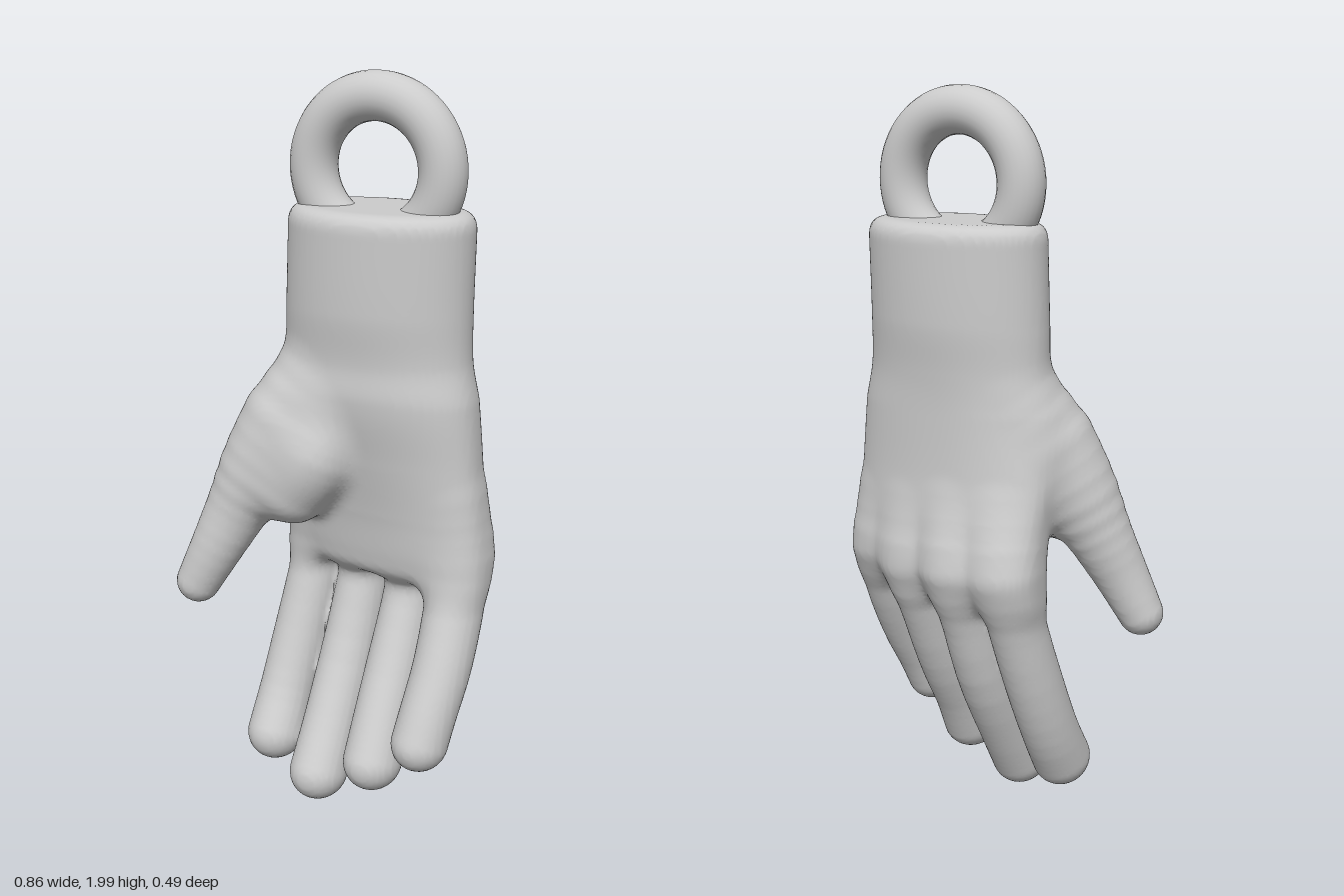
import * as THREE from 'three';

const CELL = 0.0115;
const MIN = [-0.47, -0.04, -0.29];
const MAX = [0.46, 1.71, 0.29];

// Rounded joins: blend two distances over a width k
function join(a, b, k) {
  const h = Math.max(k - Math.abs(a - b), 0) / k;
  return Math.min(a, b) - (h * h * k) / 4;
}
const cut = (a, b, k) => -join(-a, -b, k);

// Fleshy limb along stations [x, y, z, radius]; flat < 1 makes it deeper than wide
function limb(stations, flat = 1) {
  const path = new THREE.CatmullRomCurve3(stations.map(([x, y, z]) => new THREE.Vector3(x, y, z * flat)));
  const steps = 14;
  const nodes = path.getPoints(steps).map((p, i) => {
    const s = (i / steps) * (stations.length - 1);
    const n = Math.min(Math.floor(s), stations.length - 2);
    return { p, r: THREE.MathUtils.lerp(stations[n][3], stations[n + 1][3], s - n) };
  });
  return (x, y, z) => {
    let best = Infinity;
    for (let i = 0; i < steps; i++) {
      const { p, r } = nodes[i], { p: q, r: r2 } = nodes[i + 1];
      const ax = q.x - p.x, ay = q.y - p.y, az = q.z - p.z;
      const bx = x - p.x, by = y - p.y, bz = z * flat - p.z;
      const t = Math.min(Math.max((ax * bx + ay * by + az * bz) / (ax * ax + ay * ay + az * az), 0), 1);
      best = Math.min(best, Math.hypot(bx - t * ax, by - t * ay, bz - t * az) - r - t * (r2 - r));
    }
    return best;
  };
}

// Palm and wrist: [y, xMin, xMax, zBack, zFront, roundness power, slant of z across x]
const PALM = [
  [1.66, -0.154, 0.358, -0.205, 0.13, 2, 0],
  [1.4, -0.162, 0.355, -0.203, 0.13, 2, 0],
  [1.27, -0.168, 0.358, -0.19, 0.118, 2.1, 0],
  [1.17, -0.195, 0.378, -0.185, 0.122, 2.3, 0],
  [1.0, -0.21, 0.393, -0.187, 0.09, 2.5, 0.05],
  [0.85, -0.2, 0.405, -0.2, 0.06, 2.7, 0.12],
  [0.74, -0.193, 0.41, -0.208, 0.045, 2.8, 0.16],
  [0.64, -0.185, 0.4, -0.165, 0.03, 2.5, 0.17],
];

function palm(px, y, pz) {
  const last = PALM.length - 1;
  let i = 0;
  while (i < last - 1 && y < PALM[i + 1][0]) i++;
  const [p, q, r, s] = [i - 1, i, i + 1, i + 2].map((n) => PALM[Math.min(Math.max(n, 0), last)]);
  const t = Math.min(Math.max((q[0] - y) / (q[0] - r[0]), 0), 1);
  const at = (n) => 0.5 * (2 * q[n] + (r[n] - p[n]) * t
    + (2 * p[n] - 5 * q[n] + 4 * r[n] - s[n]) * t * t + (3 * q[n] - p[n] - 3 * r[n] + s[n]) * t ** 3);
  const x0 = at(1), x1 = at(2), z0 = at(3), z1 = at(4), power = at(5);
  const x = px - (x0 + x1) / 2;
  const z = pz - (z0 + z1) / 2 - at(6) * x;
  const a = (x1 - x0) / 2, b = (z1 - z0) / 2;
  const k = (Math.abs(x / a) ** power + Math.abs(z / b) ** power) ** (1 / power);
  const side = (k * (k - 1)) / Math.max(Math.hypot(x / a / a, z / b / b), 0.001);
  // flat wrist end with a rounded rim, soft lower edge between the fingers
  return cut(cut(side, y - 1.66, 0.05), 0.655 - y, 0.05);
}

const FINGERS = [
  // index
  [[-0.09, 0.92, -0.1, 0.06], [-0.115, 0.76, -0.148, 0.081], [-0.127, 0.6, -0.11, 0.076],
    [-0.148, 0.4, -0.045, 0.077], [-0.16, 0.25, 0.018, 0.077], [-0.162, 0.145, 0.08, 0.08]],
  // middle
  [[0.05, 0.92, -0.105, 0.06], [0.038, 0.75, -0.153, 0.081], [0.026, 0.6, -0.112, 0.074],
    [0.013, 0.4, -0.042, 0.077], [0.005, 0.21, 0.058, 0.077], [0.002, 0.085, 0.132, 0.08]],
  // ring
  [[0.19, 0.9, -0.085, 0.06], [0.192, 0.73, -0.12, 0.08], [0.182, 0.58, -0.075, 0.072],
    [0.174, 0.4, 0.005, 0.076], [0.17, 0.26, 0.082, 0.076], [0.17, 0.16, 0.133, 0.08]],
  // little
  [[0.325, 0.9, -0.045, 0.055], [0.338, 0.74, -0.052, 0.08], [0.343, 0.6, -0.005, 0.08],
    [0.341, 0.45, 0.065, 0.078], [0.329, 0.34, 0.122, 0.076], [0.32, 0.265, 0.156, 0.076]],
].map((stations) => limb(stations, 0.9));

const THUMB = limb([
  [-0.05, 1.22, -0.02, 0.1], [-0.13, 1.08, 0.03, 0.13], [-0.2, 0.95, 0.065, 0.115],
  [-0.265, 0.82, 0.095, 0.088], [-0.315, 0.71, 0.125, 0.074], [-0.368, 0.6, 0.146, 0.062],
]);

const THUMB_PAD = limb([[-0.02, 1.1, 0.03, 0.1], [-0.04, 1.0, 0.07, 0.11], [-0.1, 0.9, 0.075, 0.1]]);

// Whole hand: negative inside the flesh, positive outside
function hand(x, y, z) {
  const fingers = FINGERS.reduce((d, finger) => join(d, finger(x, y, z), 0.014), 10);
  const thumb = join(THUMB(x, y, z), THUMB_PAD(x, y, z), 0.06);
  return join(join(palm(x, y, z), fingers, 0.06), thumb, 0.05);
}

// Wrap a smooth quad skin around a solid given as a distance rule
function skin(solid) {
  const size = MIN.map((m, a) => Math.ceil((MAX[a] - m) / CELL) + 1);
  const stride = [1, size[0], size[0] * size[1]];
  const values = new Float32Array(size[0] * size[1] * size[2]);
  const vertexOf = new Int32Array(values.length).fill(-1);
  const positions = [], index = [];
  const eachPoint = (margin, visit) => {
    for (let k = margin; k < size[2] - margin; k++)
      for (let j = margin; j < size[1] - margin; j++)
        for (let i = margin; i < size[0] - margin; i++) visit(i + j * stride[1] + k * stride[2], [i, j, k]);
  };
  eachPoint(0, (n, c) => {
    values[n] = solid(...c.map((v, a) => MIN[a] + v * CELL));
  });

  // one vertex in each cell that the surface crosses, then settled onto the surface
  const corners = Array.from({ length: 8 }, (_, c) => [c & 1, (c >> 1) & 1, c >> 2]);
  eachPoint(1, (n, cell) => {
    const d = corners.map((c) => values[n + c[0] + c[1] * stride[1] + c[2] * stride[2]]);
    const sum = [0, 0, 0];
    let count = 0;
    for (let c = 0; c < 8; c++) {
      for (let a = 0; a < 3; a++) {
        const e = c | (1 << a);
        if (e === c || d[c] < 0 === d[e] < 0) continue;
        const t = d[c] / (d[c] - d[e]);
        for (let m = 0; m < 3; m++) sum[m] += corners[c][m] + (m === a ? t : 0);
        count++;
      }
    }
    if (!count) return;
    const p = sum.map((v, a) => MIN[a] + (cell[a] + v / count) * CELL);
    const here = solid(...p);
    const slope = p.map((_, a) => (solid(...p.map((v, m) => v + (m === a ? 0.001 : 0))) - here) / 0.001);
    const steep = Math.max(slope[0] ** 2 + slope[1] ** 2 + slope[2] ** 2, 0.25);
    const move = THREE.MathUtils.clamp(here / steep, -CELL / 3, CELL / 3);
    vertexOf[n] = positions.length / 3;
    positions.push(...p.map((v, a) => v - slope[a] * move));
  });

  // one quad around each grid edge that passes through the surface
  eachPoint(2, (n) => {
    for (let a = 0; a < 3; a++) {
      const inside = values[n] < 0;
      if (inside === values[n + stride[a]] < 0) continue;
      const v = stride[(a + 1) % 3], w = stride[(a + 2) % 3];
      const quad = [n, n - v, n - v - w, n - w].map((c) => vertexOf[c]);
      if (!inside) quad.reverse();
      index.push(quad[0], quad[1], quad[2], quad[0], quad[2], quad[3]);
    }
  });

  const geometry = new THREE.BufferGeometry();
  geometry.setAttribute('position', new THREE.Float32BufferAttribute(positions, 3));
  geometry.setIndex(index);
  geometry.computeVertexNormals();
  return geometry;
}

export function createModel() {
  const group = new THREE.Group();
  group.name = 'handPendant';
  const material = new THREE.MeshStandardMaterial({ color: 0xcccccc, roughness: 0.7 });

  const handMesh = new THREE.Mesh(skin(hand), material);
  handMesh.name = 'hand';

  // Hanging loop sunk into the wrist
  const loop = new THREE.Mesh(new THREE.TorusGeometry(0.181, 0.063, 24, 72), material);
  loop.name = 'hangingLoop';
  loop.position.set(0.093, 1.756, -0.03);

  group.add(handMesh, loop);
  return group;
}
